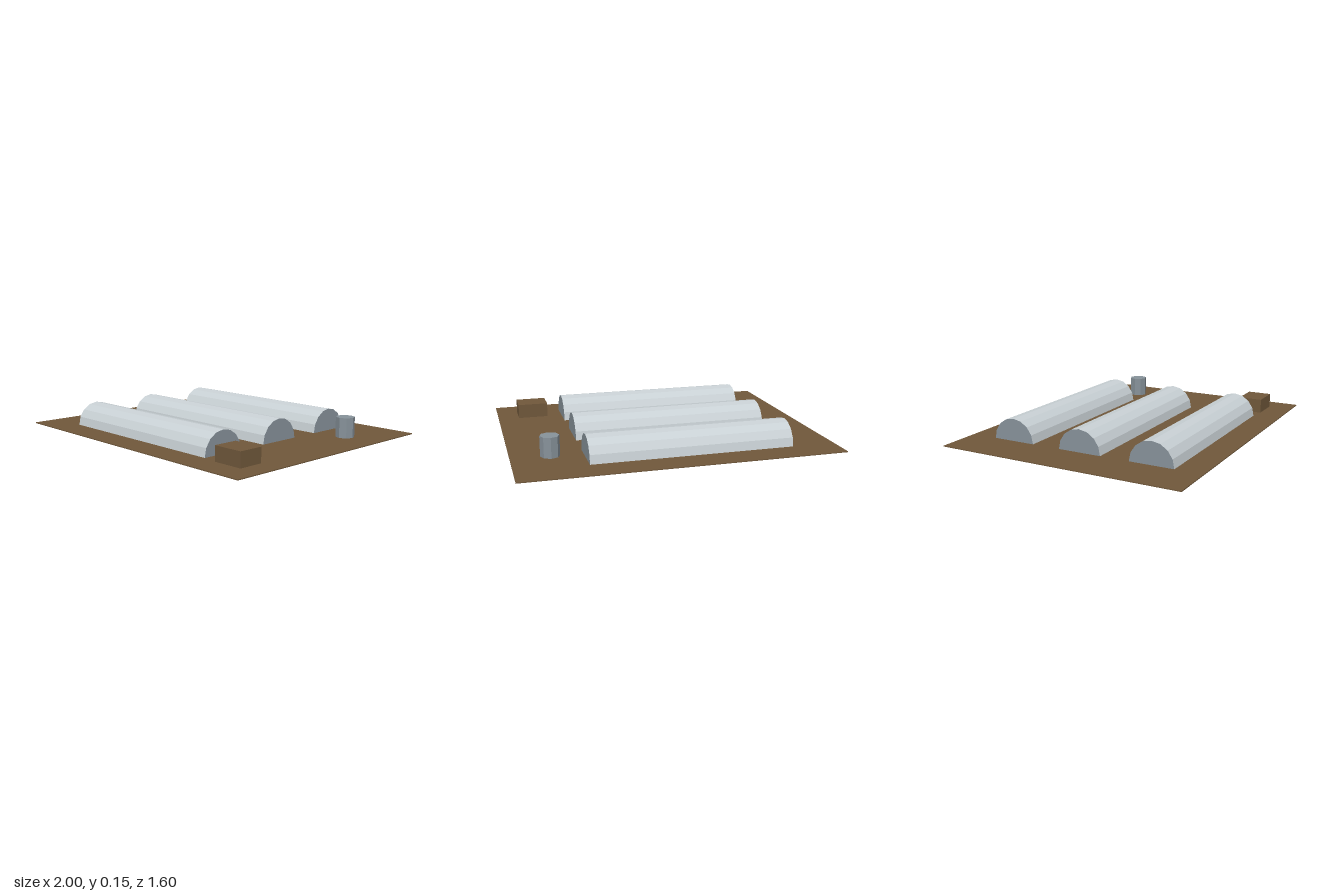
import * as THREE from 'three';

const GROUND = 0.006;

export function createModel() {
  const model = new THREE.Group();
  const mat = (name, color, flatShading = false) => {
    const m = new THREE.MeshStandardMaterial({ color, flatShading });
    m.name = name;
    return m;
  };
  const soil = mat('soil brown', 0x70583b);
  const cover = mat('pale cover', 0xc8d0d4, true);
  const metal = mat('grey metal', 0x87929a, true);

  const add = (parent, name, geometry, material, x, y, z) => {
    const mesh = new THREE.Mesh(geometry, material);
    mesh.name = name;
    mesh.position.set(x, y, z);
    parent.add(mesh);
    return mesh;
  };

  // Soil slab
  add(model, 'ground', new THREE.BoxGeometry(2, GROUND, 1.6), soil, 0, GROUND / 2, 0);

  // Three rows of arched tunnels, each of four capped sections
  const length = 0.32, radius = 0.144;
  const arch = new THREE.CylinderGeometry(radius, radius, length, 8, 1, false, 0, Math.PI);
  arch.rotateZ(Math.PI / 2);
  for (const z of [-0.48, 0, 0.48]) {
    const row = new THREE.Group();
    row.name = 'tunnelRow';
    for (let i = 0; i < 4; i++) {
      add(row, 'tunnelSection', arch, [cover, metal, metal], -0.56 + i * length, GROUND, z);
    }
    model.add(row);
  }

  // Water tank
  const tankHeight = 0.134;
  add(model, 'waterTank', new THREE.CylinderGeometry(0.06, 0.06, tankHeight, 8), metal,
    0.76, 0.001 + tankHeight / 2, -0.4);

  // Storage crate
  add(model, 'crate', new THREE.BoxGeometry(0.2, 0.098, 0.16), soil, 0.76, 0.002 + 0.049, 0.56);

  return model;
}
